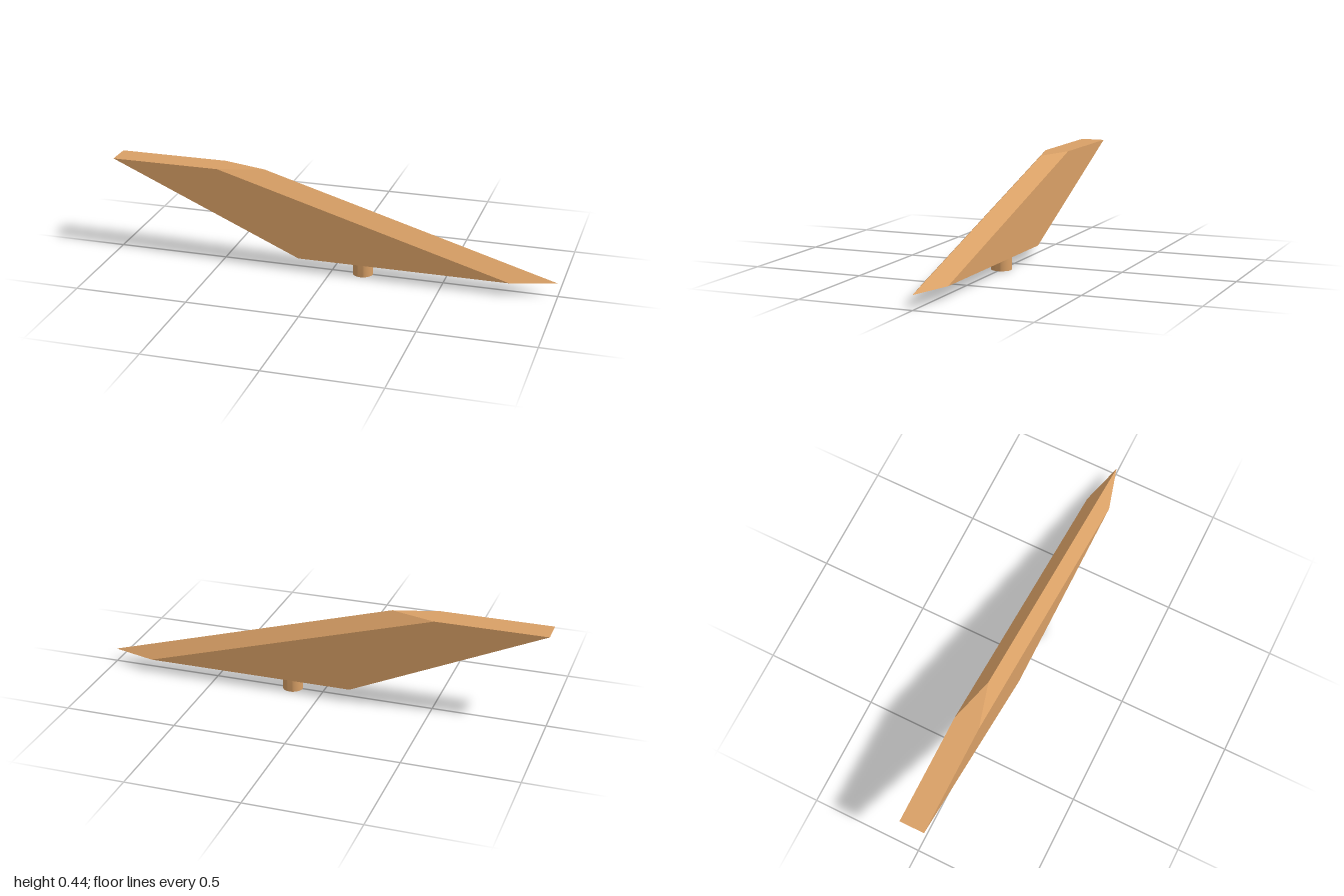
import * as THREE from 'three';
import { toCreasedNormals } from 'three/addons/utils/BufferGeometryUtils.js';

const HALF = 0.056; // half thickness of the blade

// Five-cornered section, flat at the back and pointed at the leading edge
function section(y, back, shoulder, tip) {
  return [[back, y, HALF], [shoulder, y, HALF], [tip, y, 0], [shoulder, y, -HALF], [back, y, -HALF]];
}

// Closed solid between two sections, with flat faces
function loft(lower, upper) {
  const positions = [];
  const triangle = (...corners) => corners.forEach((c) => positions.push(...c));
  const n = lower.length;
  for (let i = 0; i < n; i++) {
    const j = (i + 1) % n;
    triangle(lower[i], lower[j], upper[j]);
    triangle(lower[i], upper[j], upper[i]);
  }
  for (let i = 1; i < n - 1; i++) {
    triangle(upper[0], upper[i], upper[i + 1]);
    triangle(lower[0], lower[i + 1], lower[i]);
  }
  const geometry = new THREE.BufferGeometry();
  geometry.setAttribute('position', new THREE.Float32BufferAttribute(positions, 3));
  geometry.computeVertexNormals();
  return geometry;
}

export function createModel() {
  const group = new THREE.Group();
  group.name = 'fin';
  const tan = new THREE.MeshStandardMaterial({ color: 0xd9a066 });
  tan.name = 'tan';

  // Swept blade with a bevelled leading edge
  const blade = new THREE.Mesh(
    loft(section(0.06, -0.14, 0.8, 1), section(0.44, -1, -0.51, -0.31)), tan);
  blade.name = 'blade';
  group.add(blade);

  // Hollow mounting peg below the blade
  const profile = [[0.025, 0.06], [0.025, 0], [0.045, 0], [0.045, 0.06]]
    .map(([r, y]) => new THREE.Vector2(r, y));
  const peg = new THREE.Mesh(
    toCreasedNormals(new THREE.LatheGeometry(profile, 32), Math.PI / 5), tan);
  peg.name = 'mountingPeg';
  peg.position.x = 0.14;
  group.add(peg);

  return group;
}
